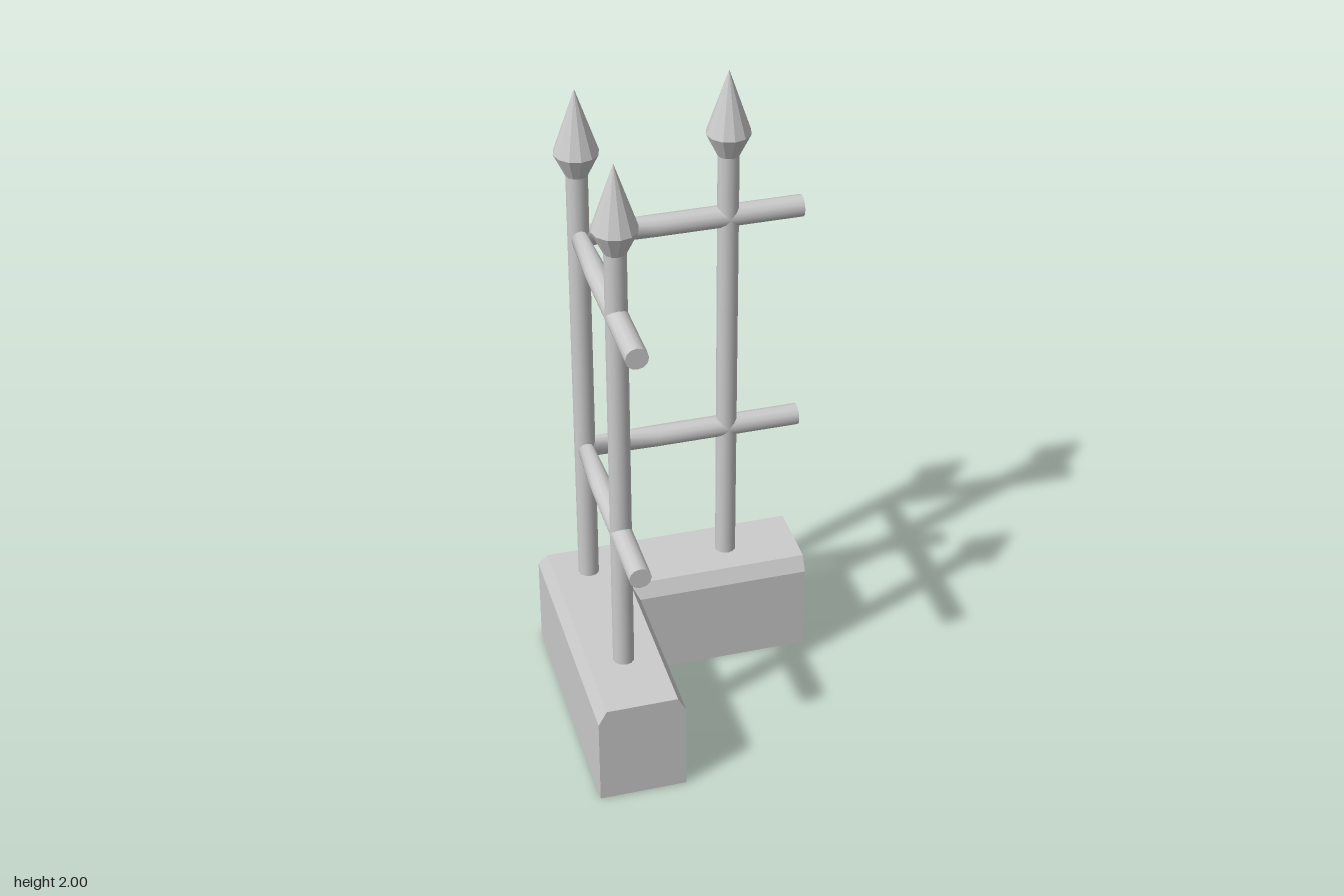
import * as THREE from 'three';

const HALF = 0.4;       // half the footprint
const AXIS = -0.2675;   // centre line of both arms
const BASE_TOP = 0.333;
const POST_R = 0.0325;

const material = new THREE.MeshStandardMaterial({ color: 0xcccccc });
const flatMaterial = new THREE.MeshStandardMaterial({ color: 0xcccccc, flatShading: true });

function addMesh(parent, name, geometry, mat = material) {
  const mesh = new THREE.Mesh(geometry, mat);
  mesh.name = name;
  parent.add(mesh);
  return mesh;
}

// L-shaped plinth: a chamfered cross-section swept round a mitred corner
function plinthGeometry() {
  // [distance in from the outer wall, height]
  const profile = [[0, 0], [0, 0.286], [0.025, BASE_TOP], [0.24, BASE_TOP], [0.265, 0.286], [0.265, 0]];
  const n = profile.length;
  const positions = [];
  for (const [d, y] of profile) positions.push(HALF, y, d - HALF);
  for (const [d, y] of profile) positions.push(d - HALF, y, d - HALF);
  for (const [d, y] of profile) positions.push(d - HALF, y, HALF);

  const index = [];
  for (let s = 0; s < 2; s++) {
    for (let i = 0; i < n; i++) {
      const a = s * n + i, b = s * n + (i + 1) % n;
      index.push(a, a + n, b, b, a + n, b + n);
    }
  }
  // end faces
  for (let i = 1; i < n - 1; i++) {
    index.push(0, i, i + 1);
    index.push(2 * n, 2 * n + i + 1, 2 * n + i);
  }
  const indexed = new THREE.BufferGeometry();
  indexed.setAttribute('position', new THREE.Float32BufferAttribute(positions, 3));
  indexed.setIndex(index);
  const geometry = indexed.toNonIndexed();
  geometry.computeVertexNormals();
  return geometry;
}

// Round post with a faceted spear point
function createPost(x, z) {
  const post = new THREE.Group();
  post.name = 'post';
  post.position.set(x, 0, z);
  const bottom = BASE_TOP - 0.01, top = 1.74;
  addMesh(post, 'shaft', new THREE.CylinderGeometry(POST_R, POST_R, top - bottom, 12))
    .position.y = (top + bottom) / 2;
  const spear = [[0, 1.735], [POST_R, 1.735], [0.066, 1.805], [0, 2]].map(([r, y]) => new THREE.Vector2(r, y));
  addMesh(post, 'spearhead', new THREE.LatheGeometry(spear, 12), flatMaterial);
  return post;
}

// Horizontal rail bent round the corner, with closed ends
function createRail(y) {
  const radius = 0.033, sides = 12;
  const rail = new THREE.Group();
  rail.name = 'rail';
  rail.position.y = y;
  const corner = new THREE.Vector3(AXIS, 0, AXIS);
  const path = new THREE.CurvePath();
  path.add(new THREE.LineCurve3(new THREE.Vector3(HALF, 0, AXIS), corner));
  path.add(new THREE.LineCurve3(corner, new THREE.Vector3(AXIS, 0, HALF)));
  addMesh(rail, 'railBar', new THREE.TubeGeometry(path, 6, radius, sides, false));

  const cap = new THREE.CircleGeometry(radius, sides);
  addMesh(rail, 'frontCap', cap).position.set(AXIS, 0, HALF);
  const sideCap = addMesh(rail, 'sideCap', cap);
  sideCap.position.set(HALF, 0, AXIS);
  sideCap.rotation.y = Math.PI / 2;
  return rail;
}

export function createModel() {
  const model = new THREE.Group();
  model.name = 'fenceCorner';
  addMesh(model, 'plinth', plinthGeometry());
  for (const [x, z] of [[AXIS, AXIS], [0.176, AXIS], [AXIS, 0.176]]) model.add(createPost(x, z));
  for (const y of [0.802, 1.535]) model.add(createRail(y));
  return model;
}
